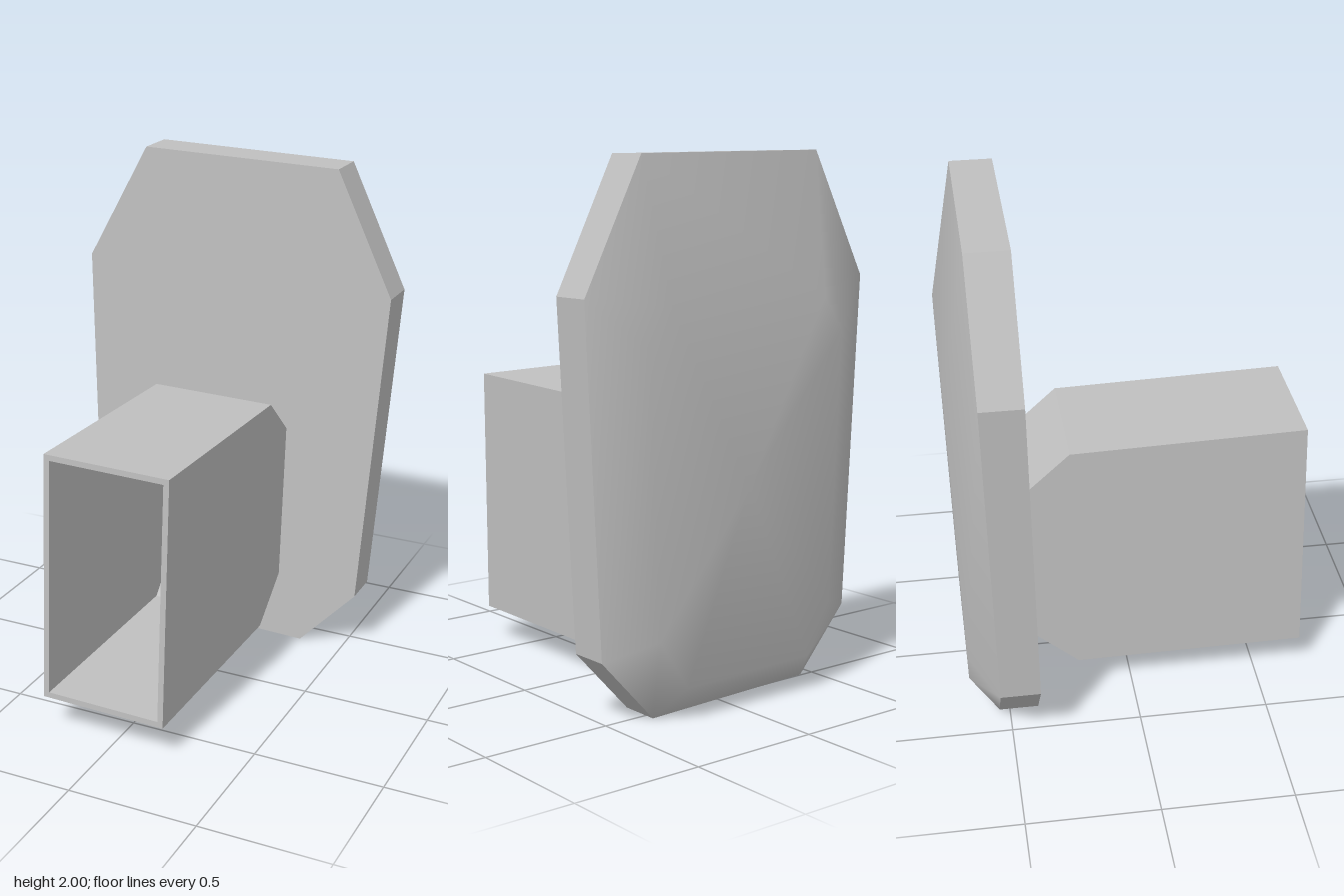
import * as THREE from 'three';

// Skins matching rings of points (counter-clockwise seen from +z, running front to back).
// Optional caps close the first and the last ring; smooth shares the normals.
function loft(rings, { capFront = false, capBack = false, smooth = false } = {}) {
  const n = rings[0].length;
  const points = rings.flat();
  const index = [];
  for (let r = 0; r < rings.length - 1; r++) {
    for (let i = 0; i < n; i++) {
      const j = (i + 1) % n;
      const a = r * n + i, b = r * n + j, c = a + n, d = b + n;
      index.push(a, c, d, a, d, b);
    }
  }
  const fan = (start, front) => {
    const centre = [0, 1, 2].map((k) =>
      points.slice(start, start + n).reduce((sum, p) => sum + p[k], 0) / n);
    const c = points.push(centre) - 1;
    for (let i = 0; i < n; i++) {
      const a = start + i, b = start + ((i + 1) % n);
      if (front) index.push(c, a, b);
      else index.push(c, b, a);
    }
  };
  if (capFront) fan(0, true);
  if (capBack) fan((rings.length - 1) * n, false);

  let geometry = new THREE.BufferGeometry();
  geometry.setAttribute('position', new THREE.Float32BufferAttribute(points.flat(), 3));
  geometry.setIndex(index);
  if (!smooth) geometry = geometry.toNonIndexed();
  geometry.computeVertexNormals();
  return geometry;
}

export function createModel() {
  const model = new THREE.Group();
  const grey = new THREE.MeshStandardMaterial({ color: 0xc0c0c0 });
  grey.name = 'plain grey';

  const add = (name, geometry, parent) => {
    const mesh = new THREE.Mesh(geometry, grey);
    mesh.name = name;
    parent.add(mesh);
  };

  // Eight-sided plate, leaning slightly back
  const outline = [
    [0.41, 1.985], [-0.395, 2.0], [-0.645, 1.54], [-0.61, 0.27],
    [-0.4, 0.025], [0.32, 0.005], [0.55, 0.25], [0.64, 1.51],
  ];
  const crown = [
    [0.35, 1.47], [-0.36, 1.48], [-0.45, 1.35], [-0.43, 0.33],
    [-0.33, 0.14], [0.25, 0.13], [0.38, 0.32], [0.445, 1.34],
  ];
  const lean = (ring, z, slope) => ring.map(([x, y]) => [x, y, z - slope * y]);
  const front = lean(outline, -0.39, 0.0175);
  const rim = lean(outline, -0.54, 0.0225);
  const back = lean(crown, -0.647, 0.022);

  const plate = new THREE.Group();
  plate.name = 'plate';
  add('plateFrontAndRim', loft([front, rim], { capFront: true }), plate);
  add('plateBack', loft([rim, back], { capBack: true, smooth: true }), plate);
  model.add(plate);

  // Hollow rectangular socket, with its far end chamfered above and below
  const section = (bottom, top, z, wall) => {
    const w = 0.2475 - wall, lo = bottom + wall, hi = top - wall;
    return [[w, hi], [-w, hi], [-w, lo], [w, lo]].map(([x, y]) =>
      [x + 0.023 * y - 0.038, y - 0.02 * x, z - 0.02 * y]);
  };
  const stations = [[0.14, 1.115, 0.682], [0.132, 1.09, -0.21], [0.295, 0.925, -0.395]];
  const outer = stations.map(([b, t, z]) => section(b, t, z, 0));
  const inner = stations.map(([b, t, z], i) => section(b, t, z, i === 2 ? 0.005 : 0.022));
  add('socket', loft([...inner.reverse(), ...outer]), model);

  return model;
}
